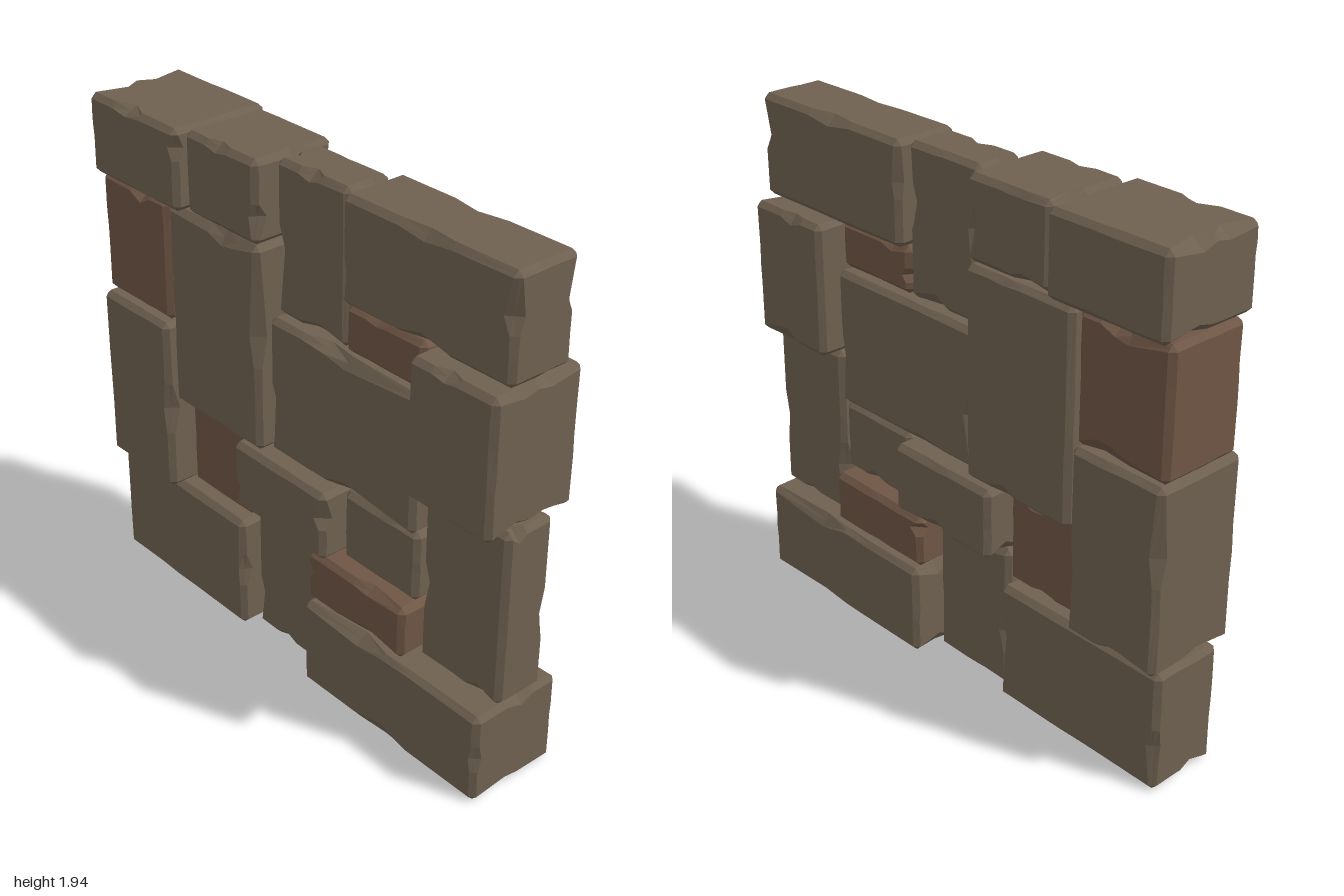
import * as THREE from 'three';

const STONE = 0x6e6050, BROWN = 0x6e5645;
const BEVEL = 0.02;

// Small seeded generator for the chips
function seeded(seed) {
  let s = seed * 7919 + 17;
  return () => (s = (s * 16807) % 2147483647) / 2147483647;
}

// Bevelled block whose edges carry a few irregular chips.
// A 6 x 6 x 6 grid: outermost lines form the bevels, inner lines the chip stations.
function chippedBlock(size, seed) {
  const rnd = seeded(seed);
  for (let i = 0; i < 5; i++) rnd();
  const half = size.map(v => v / 2);
  const stations = half.map(h => {
    const m = (rnd() - 0.5) * 0.5 * h, g = 0.3 * h;
    return [-h, -h + BEVEL, m - g, m, m + g, h - BEVEL, h];
  });

  // Bevel width on each of the two faces at one station of one edge
  const chips = {};
  const chipAt = (key, b, c) => {
    if (!chips[key]) {
      const chipped = rnd() < 0.2;
      const width = axis => BEVEL + (chipped
        ? Math.min(0.005 + rnd() * 0.03, half[axis] * 0.25)
        : (rnd() - 0.5) * 0.006);
      chips[key] = [width(b), width(c)];
    }
    return chips[key];
  };

  const geo = new THREE.BoxGeometry(6, 6, 6, 6, 6, 6);
  const pos = geo.attributes.position;
  for (let n = 0; n < pos.count; n++) {
    const idx = [pos.getX(n), pos.getY(n), pos.getZ(n)].map(v => Math.round(v + 3));
    const p = idx.map((k, a) => stations[a][k]);
    const outer = idx.map(k => k === 0 || k === 6);
    const rim = idx.map(k => k < 2 || k > 4);
    const count = outer.filter(Boolean).length;
    const sign = idx.map(k => (k < 3 ? -1 : 1));
    const inner = rim.indexOf(false);

    if (rim.filter(Boolean).length === 2 && count > 0) {
      // along an edge
      const b = (inner + 1) % 3, c = (inner + 2) % 3;
      const [db, dc] = chipAt([inner, sign[b], sign[c], idx[inner]].join(), b, c);
      const share = count === 2 ? 0.5 : 1;
      p[b] = sign[b] * (half[b] - (outer[b] && count === 1 ? 0 : db * share));
      p[c] = sign[c] * (half[c] - (outer[c] && count === 1 ? 0 : dc * share));
    } else if (count > 1) {
      // at a corner
      const cut = BEVEL * (count === 3 ? 2 / 3 : 0.5);
      for (let a = 0; a < 3; a++) if (outer[a]) p[a] = sign[a] * (half[a] - cut);
    }
    pos.setXYZ(n, ...p);
  }
  geo.computeVertexNormals();
  return geo;
}

// Each block: z from, z to, y from, y to, x from, x to, then colour if brown
const BLOCKS = [
  // top course
  [0.25, 1, 1.56, 1.94, -0.12, 0.14],
  [-0.105, 0.245, 1.38, 1.94, -0.09, 0.1],
  [-0.49, -0.115, 1.64, 1.94, -0.17, 0.165],
  [-1, -0.5, 1.64, 1.94, -0.205, 0.195],
  // middle courses
  [0.625, 1, 1.04, 1.55, -0.18, 0.2],
  [0.25, 0.615, 1.38, 1.555, -0.1, 0.1, BROWN],
  [-0.11, 0.615, 0.85, 1.375, -0.125, 0.13],
  [-0.605, -0.115, 0.85, 1.635, -0.17, 0.175],
  [-1, -0.615, 1.17, 1.635, -0.17, 0.16, BROWN],
  [0.625, 1, 0.36, 1.035, -0.085, 0.12],
  [0.25, 0.615, 0.57, 0.845, -0.1, 0.115],
  [-0.25, 0.24, 0.575, 0.845, -0.185, 0.195],
  [-0.605, -0.26, 0.475, 0.845, -0.1, 0.1, BROWN],
  [-1, -0.61, 0.47, 1.165, -0.2, 0.175],
  [0.13, 0.615, 0.36, 0.565, -0.16, 0.175, BROWN],
  // bottom course
  [0.13, 1, 0, 0.355, -0.18, 0.2],
  [-0.245, 0.12, 0, 0.565, -0.085, 0.09],
  [-1, -0.255, 0, 0.465, -0.15, 0.14],
];

export function createModel() {
  const wall = new THREE.Group();
  wall.name = 'stoneWall';
  const materials = {};
  BLOCKS.forEach(([z0, z1, y0, y1, x0, x1, color = STONE], i) => {
    materials[color] ??= new THREE.MeshStandardMaterial({ color, flatShading: true });
    const block = new THREE.Mesh(chippedBlock([x1 - x0, y1 - y0, z1 - z0], i + 1), materials[color]);
    block.position.set((x0 + x1) / 2, (y0 + y1) / 2, (z0 + z1) / 2);
    block.name = (color === BROWN ? 'brownBlock' : 'stoneBlock') + (i + 1);
    wall.add(block);
  });
  return wall;
}
